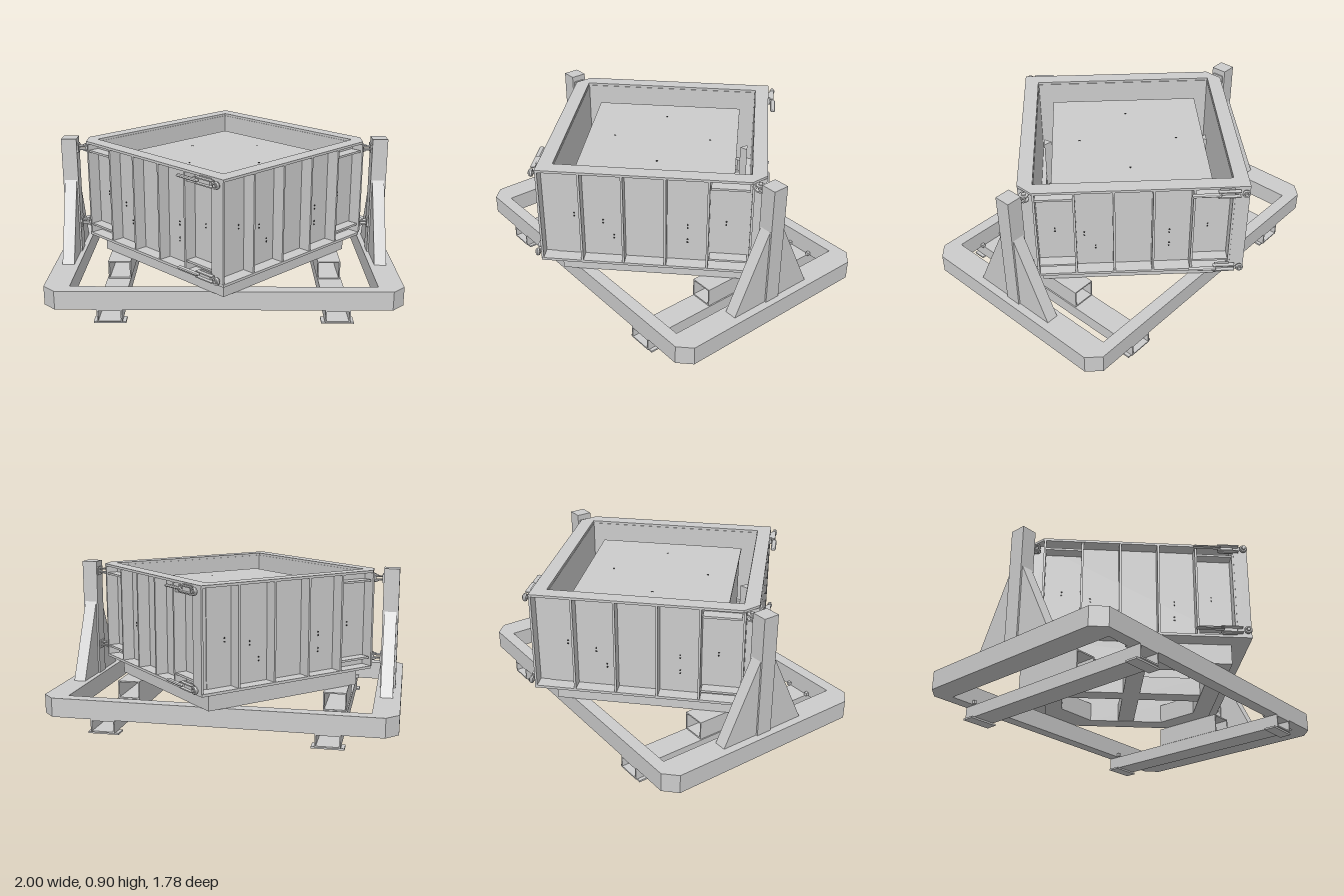
import * as THREE from 'three';

const mat = new THREE.MeshStandardMaterial({ color: 0xcccccc, flatShading: true, side: THREE.DoubleSide });
const dark = new THREE.MeshStandardMaterial({ color: 0x333333 });

function add(parent, name, geometry, x = 0, y = 0, z = 0, material = mat) {
  const m = new THREE.Mesh(geometry, material);
  m.name = name;
  m.position.set(x, y, z);
  parent.add(m);
  return m;
}
// box given by its min and max along each axis
function box(parent, name, x0, x1, y0, y1, z0, z1) {
  return add(parent, name, new THREE.BoxGeometry(x1 - x0, y1 - y0, z1 - z0),
    (x0 + x1) / 2, (y0 + y1) / 2, (z0 + z1) / 2);
}
// flat outline (x, z) with an optional hole, raised from y0 to y1
function slab(parent, name, outline, hole, y0, y1) {
  const toPoints = (list) => list.map(([x, z]) => new THREE.Vector2(x, -z));
  const shape = new THREE.Shape(toPoints(outline));
  if (hole) shape.holes.push(new THREE.Path(toPoints(hole)));
  const g = new THREE.ExtrudeGeometry(shape, { depth: y1 - y0, bevelEnabled: false });
  g.rotateX(-Math.PI / 2);
  return add(parent, name, g, 0, y0, 0);
}
// square standing on its corner; the x corners may be cut off
function diamond(c, cut = c) {
  if (cut >= c) return [[c, 0], [0, c], [-c, 0], [0, -c]];
  const d = c - cut;
  return [[cut, -d], [cut, d], [0, c], [-cut, d], [-cut, -d], [0, -c]];
}
function chamferedRect(a, b, c) {
  return [[a, -b + c], [a, b - c], [a - c, b], [-a + c, b], [-a, b - c], [-a, -b + c], [-a + c, -b], [a - c, -b]];
}
// hollow rectangular tube running along z
function tubeZ(parent, name, x, y0, y1, w, halfLength) {
  const t = 0.008, h = w / 2;
  const s = new THREE.Shape([[-h, y0], [h, y0], [h, y1], [-h, y1]].map((p) => new THREE.Vector2(...p)));
  s.holes.push(new THREE.Path([[-h + t, y0 + t], [-h + t, y1 - t], [h - t, y1 - t], [h - t, y0 + t]]
    .map((p) => new THREE.Vector2(...p))));
  add(parent, name, new THREE.ExtrudeGeometry(s, { depth: halfLength * 2, bevelEnabled: false }), x, 0, -halfLength);
}

function buildBase(root) {
  const g = new THREE.Group();
  g.name = 'baseFrame';
  root.add(g);
  slab(g, 'groundFrame', chamferedRect(1, 0.66, 0.07),
    [[0.855, -0.59], [0.855, 0.59], [-0.855, 0.59], [-0.855, -0.59]], 0.085, 0.195);
  for (const s of [-1, 1]) {
    // forklift channels with foot plates and weld tabs
    tubeZ(g, 'forkChannel', s * 0.63, 0.01, 0.085, 0.14, 0.66);
    tubeZ(g, 'supportTube', s * 0.625, 0.085, 0.195, 0.135, 0.22);
    for (const e of [-1, 1]) {
      add(g, 'footPlate', new THREE.BoxGeometry(0.18, 0.01, 0.07), s * 0.63, 0.005, e * 0.615);
      for (const k of [-1, 1])
        add(g, 'weldTab', new THREE.BoxGeometry(0.02, 0.02, 0.02), s * 0.63 + k * 0.075, 0.097, e * 0.582);
    }
    // upright post with a sloping brace on each side
    box(g, 'post', s * 0.92 - 0.045, s * 0.92 + 0.045, 0.195, 0.9, -0.047, 0.047);
    const tri = new THREE.Shape([[-0.27, 0.195], [0.27, 0.195], [0.047, 0.65], [-0.047, 0.65]]
      .map((p) => new THREE.Vector2(...p)));
    const brace = new THREE.ExtrudeGeometry(tri, { depth: 0.07, bevelEnabled: false });
    brace.translate(0, 0, -0.035).rotateY(Math.PI / 2);
    add(g, 'postBrace', brace, s * 0.92);
  }
}

function buildPallet(root) {
  const g = new THREE.Group();
  g.name = 'pallet';
  root.add(g);
  // diagonal frame with its corners filled, leaving an eight-sided opening
  const a = 0.45, b = 0.13;
  slab(g, 'palletFrame', diamond(0.73),
    [[a, -b], [a, b], [b, a], [-b, a], [-a, b], [-a, -b], [-b, -a], [b, -a]], 0.195, 0.31);
  // crossing beams
  const beams = new THREE.Group();
  beams.name = 'crossBeams';
  beams.rotation.y = Math.PI / 4;
  g.add(beams);
  box(beams, 'longBeam', -0.42, 0.42, 0.2, 0.31, -0.05, 0.05);
  for (const s of [-1, 1]) box(beams, 'shortBeam', -0.05, 0.05, 0.2, 0.31, s * 0.235 - 0.185, s * 0.235 + 0.185);
}

// toggle latch lying along local x
function latch(parent, x, y, z) {
  const g = new THREE.Group();
  g.name = 'latch';
  g.position.set(x, y, z);
  parent.add(g);
  const handle = add(g, 'latchHandle', new THREE.CapsuleGeometry(0.008, 0.14, 3, 8), -0.08, 0, 0.008);
  handle.rotation.z = Math.PI / 2;
  handle.scale.z = 1.9;
  for (const s of [-1, 1])
    add(g, 'latchCheek', new THREE.BoxGeometry(0.12, 0.006, 0.025), 0.04, s * 0.016, 0);
  add(g, 'latchMount', new THREE.BoxGeometry(0.08, 0.045, 0.012), 0.03, 0, -0.014);
  const eye = add(g, 'latchEye', new THREE.TorusGeometry(0.016, 0.007, 6, 16), 0.128, 0, 0.004);
  eye.scale.z = 1.5;
  const bolt = add(g, 'latchBolt', new THREE.CylinderGeometry(0.009, 0.009, 0.03, 10), 0.128, 0, 0.004);
  bolt.rotation.x = Math.PI / 2;
}

function buildMould(root) {
  const g = new THREE.Group();
  g.name = 'mouldBox';
  root.add(g);
  slab(g, 'topFlange', diamond(0.87, 0.815), diamond(0.755), 0.876, 0.89);
  slab(g, 'bottomFlange', diamond(0.87, 0.815), diamond(0.7), 0.31, 0.325);
  slab(g, 'wall', diamond(0.765), diamond(0.75), 0.325, 0.876);
  slab(g, 'innerLedge', diamond(0.75), diamond(0.71), 0.325, 0.4);
  // inner core with its cover plate
  slab(g, 'coreWall', diamond(0.61), diamond(0.59), 0.31, 0.785);
  slab(g, 'corePlate', diamond(0.625), null, 0.785, 0.8);
  for (const x of [-0.2, 0.2]) for (const z of [-0.2, 0.2])
    add(g, 'plateHole', new THREE.CylinderGeometry(0.006, 0.006, 0.002, 10), x, 0.801, z, dark);

  // short sides fit between the long ones, so their ribs are spaced differently
  const shortRibs = [-0.53, -0.32, -0.107, 0.107, 0.32, 0.53];
  const longRibs = [-0.609, -0.383, -0.151, 0.081, 0.313, 0.545];
  for (let k = 0; k < 4; k++) {
    const long = k % 2 === 1;
    const side = new THREE.Group();
    side.name = long ? 'longSide' : 'shortSide';
    side.rotation.y = -Math.PI / 4 + k * Math.PI / 2;
    g.add(side);
    // upright ribs between the flanges
    for (const x of long ? longRibs : shortRibs)
      box(side, 'rib', x - 0.006, x + 0.006, 0.325, 0.876, 0.535, 0.613);
    // short shelves in the end bays that carry the fittings
    for (const s of long ? [1] : [-1, 1]) for (const y of [0.83, 0.375])
      box(side, 'shelf', s * 0.427 - 0.103, s * 0.427 + 0.103, y - 0.006, y + 0.006, 0.535, 0.605);
    // paired bolt holes in the panels
    for (const [x, y] of [[-0.43, 0.59], [-0.27, 0.555], [-0.21, 0.46], [0.2, 0.555], [0.2, 0.46], [0.41, 0.59]])
      for (const d of [0, 0.02]) {
        const hole = add(side, 'boltHole', new THREE.CylinderGeometry(0.005, 0.005, 0.003, 8), x, y - d, 0.542, dark);
        hole.rotation.x = Math.PI / 2;
      }
    // wedge stops between wall and core
    for (const s of [-1, 1])
      slab(side, 'wedgeStop', [[s * 0.22, 0.503], [s * 0.28, 0.503], [s * 0.25, 0.46]], null, 0.325, 0.63);
    if (!long) for (const y of [0.86, 0.345]) latch(side, 0.46, y, 0.636);
  }
  // inner corner fillets
  for (let k = 0; k < 4; k++) {
    const q = new THREE.Group();
    q.name = 'innerCorner';
    q.rotation.y = k * Math.PI / 2;
    g.add(q);
    slab(q, 'cornerFillet', [[0.71, 0], [0.67, 0.04], [0.67, -0.04]], null, 0.325, 0.4);
  }
}

function buildHinges(root) {
  for (const s of [-1, 1]) for (const y of [0.84, 0.375]) {
    const g = new THREE.Group();
    g.name = 'hinge';
    g.position.set(s * 0.82, y, 0);
    root.add(g);
    add(g, 'hingePin', new THREE.CylinderGeometry(0.012, 0.012, 0.05, 12));
    for (const d of [-1, 1]) {
      add(g, 'hingeEye', new THREE.CylinderGeometry(0.026, 0.026, 0.008, 16), 0, d * 0.014, 0);
      add(g, 'hingeArm', new THREE.BoxGeometry(0.05, 0.006, 0.035), s * 0.03, d * 0.01, 0);
    }
    add(g, 'hingePlate', new THREE.BoxGeometry(0.01, 0.05, 0.07), s * 0.052, 0, 0);
  }
}

export function createModel() {
  const root = new THREE.Group();
  root.name = 'mouldOnStand';
  buildBase(root);
  buildPallet(root);
  buildMould(root);
  buildHinges(root);
  return root;
}
